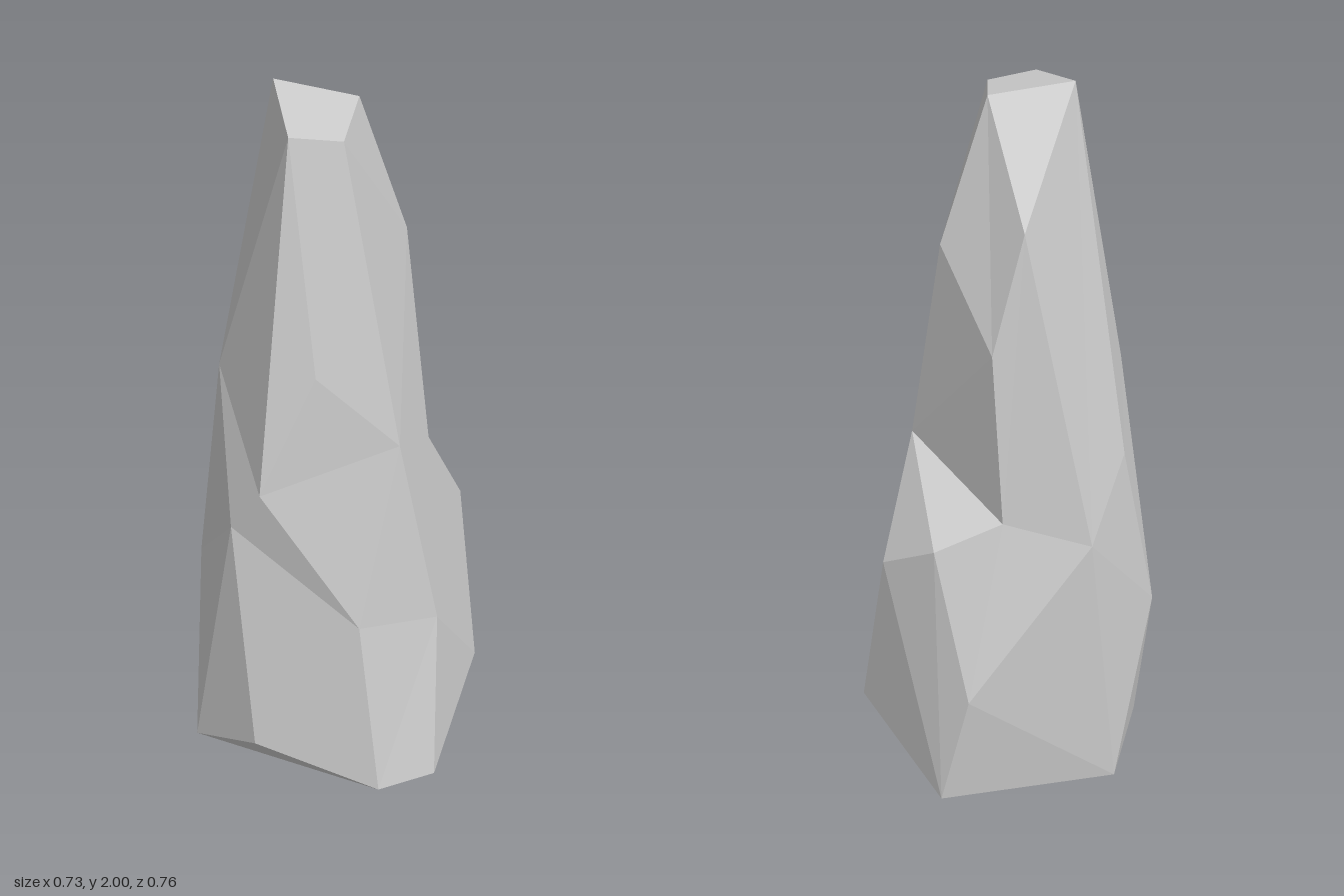
import * as THREE from 'three';

// Shared corners of the rock, bottom to top
const P = {
  foot: [0.037, 0, 0.13],
  // base corners
  a0: [-0.032, 0.145, 0.376], b0: [0.275, 0.305, 0.243], c0: [0.363, 0.155, -0.085],
  e0: [-0.068, 0.07, -0.362], f0: [-0.358, 0.07, -0.255], g0: [-0.367, 0.24, 0.015], h0: [-0.184, 0.145, 0.31],
  // waist corners
  a1: [0.033, 0.64, 0.304], b1: [0.317, 0.8, 0.12], c1: [0.32, 0.89, -0.045], d1: [0.335, 0.485, -0.157],
  e1: [0.047, 0.87, -0.333], f1: [-0.197, 0.6, -0.38], g1: [-0.343, 0.945, -0.065], h1: [-0.18, 0.685, 0.228],
  // chest corners, with the notch on the +x side (b2, c2)
  a2: [-0.05, 1.2, 0.232], b2: [0.14, 1.09, 0.154], c2: [0.207, 0.96, -0.172],
  f2: [-0.082, 1.08, -0.34], g2: [-0.2, 1.28, -0.25], h2: [-0.322, 1.08, 0.025],
  // shoulder corners
  b3: [0.17, 1.63, 0.032], c3: [0.22, 1.41, -0.15], d3: [0.157, 1.7, -0.195], h3: [-0.2, 1.4, 0.1],
  // crown corners
  front: [-0.083, 1.95, 0.075], left: [0.077, 1.97, -0.038], back: [-0.042, 2, -0.194], right: [-0.177, 1.965, 0],
};

// Cross-sections of eight corners, from the front round by +x; a repeated corner closes a facet to a point
const RINGS = [
  'foot foot foot foot foot f0 f0 foot',
  'a0 b0 c0 c0 e0 f0 g0 h0',
  'a1 b1 c1 d1 e1 f1 g1 h1',
  'a2 b2 c2 c2 e1 f2 g2 h2',
  'front b3 c3 d3 back back right h3',
  'front left left left back back right right',
].map((ring) => ring.split(' '));

// Which way each quad between two rings is split (/ from lower first corner, \ from lower second)
const SPLITS = ['////////', '\\\\/\\////', '/\\//////', '///\\/\\\\\\', '////////'];

function rockGeometry() {
  const positions = [];
  const tri = (a, b, c) => {
    if (a !== b && b !== c && c !== a) positions.push(...P[a], ...P[b], ...P[c]);
  };
  SPLITS.forEach((splits, r) => {
    for (let i = 0; i < 8; i++) {
      const j = (i + 1) % 8;
      const [a, b, c, d] = [RINGS[r][i], RINGS[r][j], RINGS[r + 1][j], RINGS[r + 1][i]];
      if (splits[i] === '/') {
        tri(a, b, c);
        tri(a, c, d);
      } else {
        tri(a, b, d);
        tri(b, c, d);
      }
    }
  });
  // crown facets
  tri('front', 'left', 'back');
  tri('front', 'back', 'right');

  const geometry = new THREE.BufferGeometry();
  geometry.setAttribute('position', new THREE.Float32BufferAttribute(positions, 3));
  geometry.computeVertexNormals();
  return geometry;
}

export function createModel() {
  const group = new THREE.Group();
  group.name = 'standingRock';
  const rock = new THREE.Mesh(
    rockGeometry(),
    new THREE.MeshStandardMaterial({ color: 0xcccccc, flatShading: true })
  );
  rock.name = 'rockPillar';
  group.add(rock);
  return group;
}
